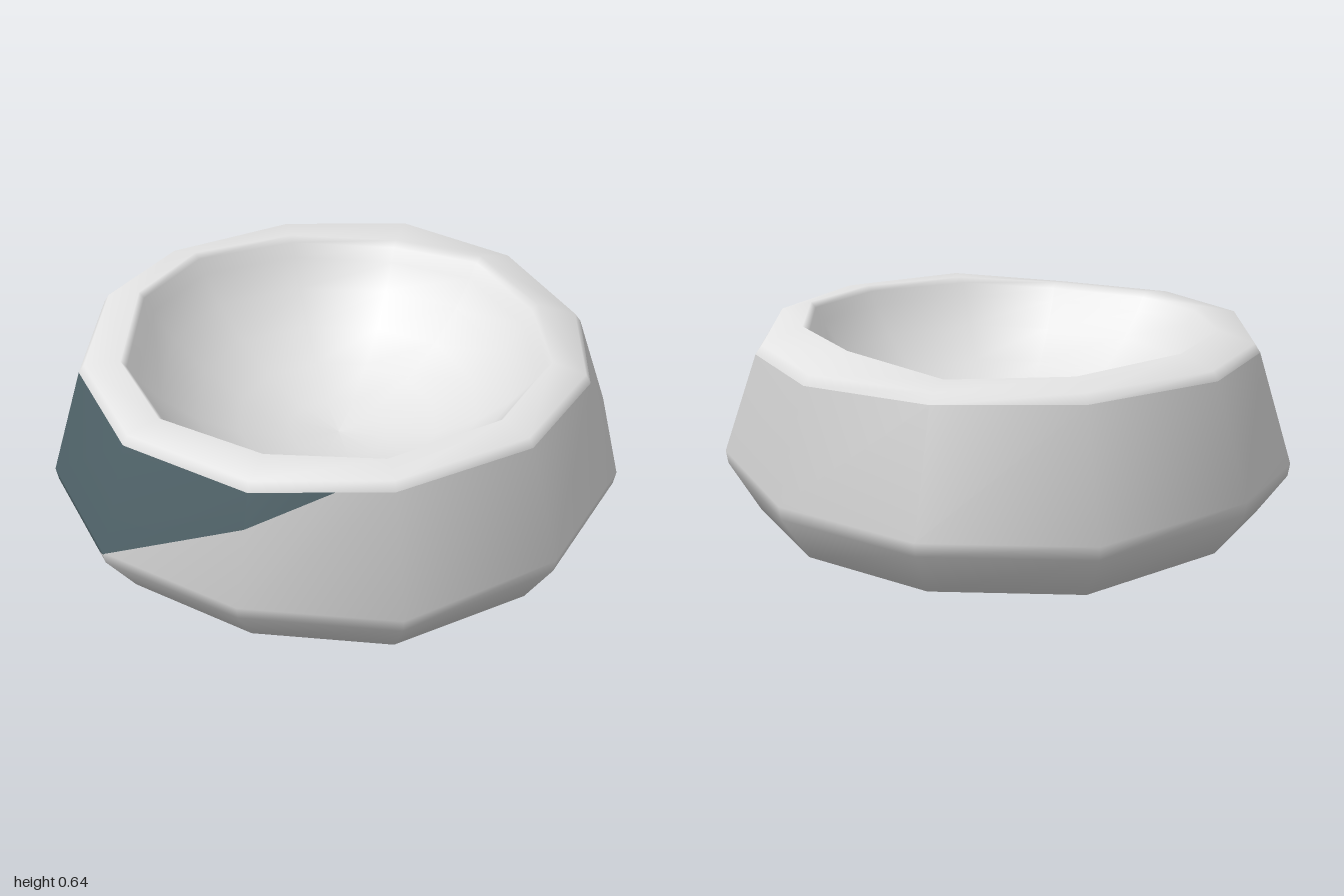
import * as THREE from 'three';

const make = (name, color) => new THREE.MeshStandardMaterial({ name, color });

// Twelve-sided, slightly irregular outlines as [x, z], clockwise from the back
const waist = [[0.05, -1], [0.54, -0.81], [0.89, -0.4], [0.985, 0.08], [0.85, 0.55], [0.45, 0.92],
  [-0.05, 0.995], [-0.54, 0.86], [-0.87, 0.49], [-0.99, -0.03], [-0.87, -0.46], [-0.48, -0.91]];
const rimOut = [[0.04, -0.85], [0.48, -0.71], [0.78, -0.36], [0.865, 0.07], [0.74, 0.48], [0.39, 0.8],
  [-0.04, 0.88], [-0.48, 0.76], [-0.77, 0.43], [-0.87, -0.025], [-0.76, -0.4], [-0.41, -0.73]];
const rimIn = [[0.04, -0.66], [0.37, -0.55], [0.62, -0.27], [0.72, 0.07], [0.62, 0.41], [0.33, 0.68],
  [-0.03, 0.73], [-0.39, 0.64], [-0.61, 0.4], [-0.71, -0.01], [-0.62, -0.33], [-0.34, -0.58]];
// Heights at the same corners
const waistY = [0.2, 0.2, 0.22, 0.25, 0.22, 0.2, 0.2, 0.2, 0.2, 0.19, 0.2, 0.2];
const outerY = [0.575, 0.565, 0.555, 0.58, 0.585, 0.585, 0.555, 0.56, 0.57, 0.57, 0.57, 0.57];
const innerY = [0.605, 0.645, 0.64, 0.64, 0.63, 0.62, 0.605, 0.605, 0.62, 0.635, 0.635, 0.615];
const N = waist.length;

// One cross-section ring; k scales the outline, y may vary by corner
const ring = (pts, k, y) => pts.map(([x, z], i) => [x * k, y(i), z * k]);
const mix = (t) => rimOut.map(([x, z], i) => [x + (rimIn[i][0] - x) * t, z + (rimIn[i][1] - z) * t]);

// Skins the rings into one smooth indexed surface
function skin(rings) {
  const index = [];
  for (let r = 0; r < rings.length - 1; r++) {
    for (let i = 0; i < N; i++) {
      const j = (i + 1) % N;
      const a = r * N + i, b = r * N + j, c = a + N, d = b + N;
      index.push(a, c, b, b, c, d);
    }
  }
  const g = new THREE.BufferGeometry();
  g.setAttribute('position', new THREE.Float32BufferAttribute(rings.flat(2), 3));
  g.setIndex(index);
  g.computeVertexNormals();
  return g;
}

// Cuts bands first..last of a surface where side(p) > 0, keeping its smooth normals
function cut(g, first, last, side) {
  const pos = [], nor = [];
  const vertex = (i) => {
    const p = new THREE.Vector3().fromBufferAttribute(g.attributes.position, i);
    const n = new THREE.Vector3().fromBufferAttribute(g.attributes.normal, i);
    return { p, n, s: side(p) };
  };
  for (let t = first * N * 6; t < last * N * 6; t += 3) {
    const tri = [0, 1, 2].map((k) => vertex(g.index.getX(t + k)));
    const poly = [];
    tri.forEach((a, k) => {
      const b = tri[(k + 1) % 3];
      if (a.s >= 0) poly.push(a);
      if (a.s * b.s < 0) {
        const u = a.s / (a.s - b.s);
        poly.push({ p: a.p.clone().lerp(b.p, u), n: a.n.clone().lerp(b.n, u).normalize() });
      }
    });
    for (let k = 1; k < poly.length - 1; k++) {
      for (const v of [poly[0], poly[k], poly[k + 1]]) {
        pos.push(...v.p.toArray());
        nor.push(...v.n.toArray());
      }
    }
  }
  const out = new THREE.BufferGeometry();
  out.setAttribute('position', new THREE.Float32BufferAttribute(pos, 3));
  out.setAttribute('normal', new THREE.Float32BufferAttribute(nor, 3));
  return out;
}

export function createModel() {
  const model = new THREE.Group();
  model.name = 'bowl';
  const stone = make('light grey', 0xc8c8c8);
  const pale = make('pale grey', 0xe2e2e2);
  const slate = make('slate teal', 0x4f6268);
  const moss = make('soft green', 0xa8d898);
  const add = (name, geometry, material) => {
    const mesh = new THREE.Mesh(geometry, material);
    mesh.name = name;
    model.add(mesh);
  };

  // Round hollow: height fraction of a spherical cap at outline scale k
  const radius = 0.69, depth = 0.43, R = (radius ** 2 + depth ** 2) / (2 * depth);
  const cap = (k) => (R - Math.sqrt(R * R - (radius * k) ** 2)) / depth;
  const floorY = 0.18;
  const hollow = [0.96, 0.86, 0.7, 0.5, 0.25, 0].map((k) =>
    ring(rimIn, k, (i) => floorY + (innerY[i] - 0.02 - floorY) * cap(k)));

  // Whole surface from the underside centre, up the wall and down into the hollow
  const body = skin([
    ring(waist, 0, () => 0),
    ring(waist, 0.89, () => 0),
    ring(waist, 0.993, (i) => waistY[i] - 0.045),
    ring(waist, 1, (i) => waistY[i]),
    ring(rimOut, 1, (i) => outerY[i]),
    ring(mix(0.12), 1, (i) => outerY[i] + 0.03),
    ring(mix(0.88), 1, (i) => innerY[i]),
    ring(rimIn, 1, (i) => innerY[i] - 0.02),
    ...hollow,
  ]);
  const split = (name, first, last, side, patch) => {
    add(name, cut(body, first, last, (p) => -side(p)), stone);
    add(name + 'Patch', cut(body, first, last, side), patch);
  };

  // Underside with a coloured strip along the left edge
  split('base', 0, 1, (p) => p.x - 0.65 - (p.z + 0.49) * 0.087, moss);
  // Slanted colour field on the front right of the wall
  split('lowerWall', 1, 3, (p) => Math.min(p.y - 0.2 - (p.x + 0.53), p.z + 0.025), slate);
  split('upperWall', 3, 4, (p) => Math.min((p.y - 0.2) * 2 - (p.x + 0.53), p.z + 0.025), slate);
  add('rim', cut(body, 4, 7, () => 1), pale);
  add('hollow', cut(body, 7, 7 + hollow.length, () => 1), pale);

  return model;
}
